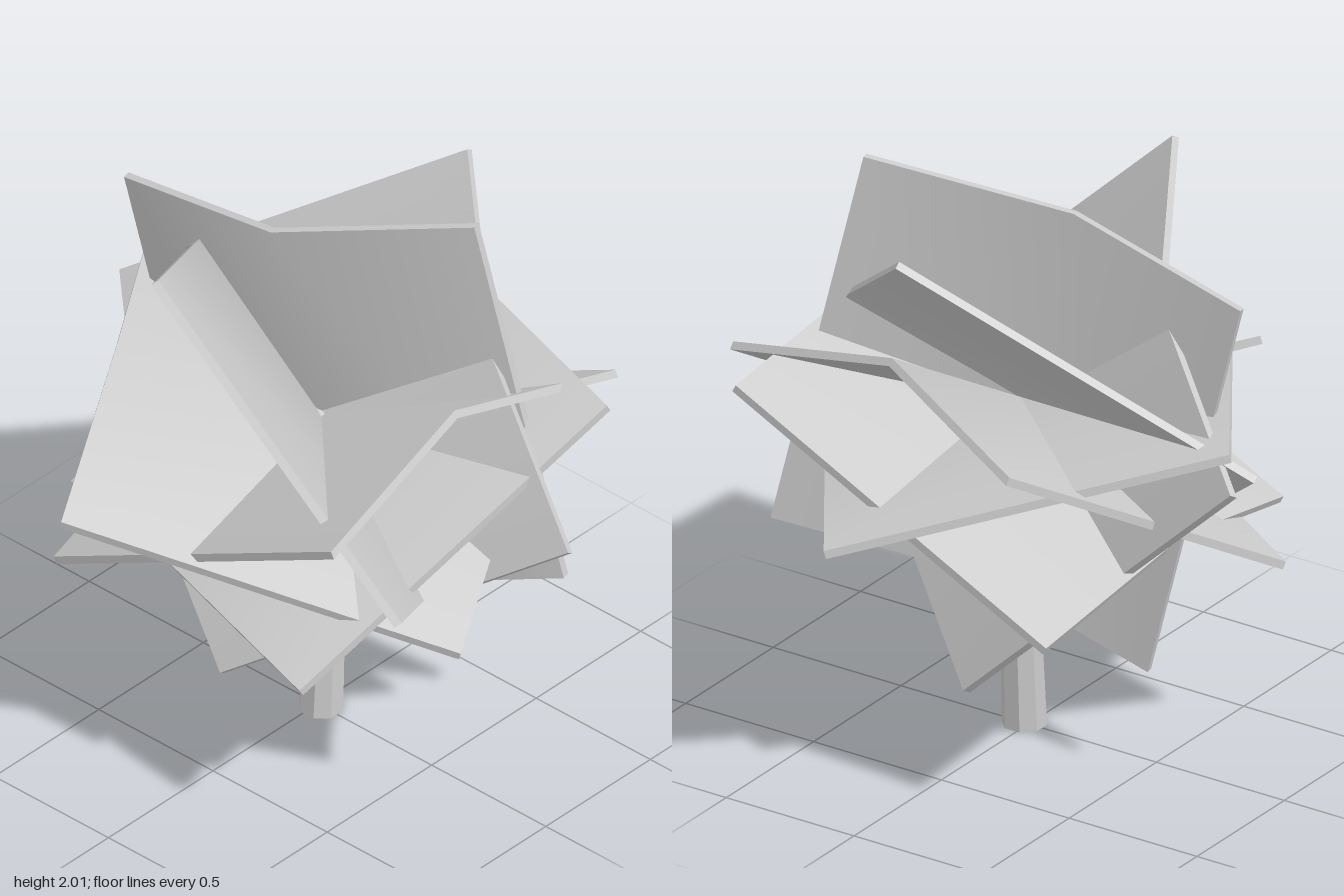
import * as THREE from 'three';
import { toCreasedNormals } from 'three/addons/utils/BufferGeometryUtils.js';

const HALF = 0.68;  // half width and half depth of a foliage card
const DROP = 0.18;  // how far the wing tips fall below the fold
const THICK = 0.028;

// Folded foliage card: a shallow chevron, extruded along its fold
function cardGeometry() {
  const t = THICK / 2;
  const shape = new THREE.Shape([
    [0, t], [-HALF, t - DROP], [-HALF, -t - DROP],
    [0, -t], [HALF, -t - DROP], [HALF, t - DROP],
  ].map(([x, y]) => new THREE.Vector2(x, y)));
  const geo = new THREE.ExtrudeGeometry(shape, { depth: HALF * 2, bevelEnabled: false });
  geo.translate(0, 0, -HALF);
  return toCreasedNormals(geo, 0.7);
}

// Slightly crooked, tapering eight-sided trunk
function trunkGeometry() {
  const rings = [ // y, x, z, radius
    [0, 0, 0.017, 0.075],
    [0.39, 0.02, 0.017, 0.068],
    [0.75, 0, 0.02, 0.056],
    [1.17, -0.02, 0.04, 0.03],
  ];
  const geo = new THREE.CylinderGeometry(1, 1, 3, 8, 3);
  geo.rotateY(Math.PI / 8);
  const pos = geo.attributes.position;
  for (let i = 0; i < pos.count; i++) {
    const [y, x, z, r] = rings[Math.round(pos.getY(i) + 1.5)];
    pos.setXYZ(i, x + pos.getX(i) * r, y, z + pos.getZ(i) * r);
  }
  geo.computeVertexNormals();
  return geo;
}

export function createModel() {
  const model = new THREE.Group();
  model.name = 'tree';

  const bark = new THREE.MeshStandardMaterial({ color: 0xcccccc, flatShading: true });
  const leaf = new THREE.MeshStandardMaterial({ color: 0xcccccc });

  const trunk = new THREE.Mesh(trunkGeometry(), bark);
  trunk.name = 'trunk';
  model.add(trunk);

  // Each card: fold direction, direction its ridge points, height of its centre
  const cards = [
    [[0, 0.61, 1.21], [0, 0.893, -0.45], 1.145],
    [[0.12, -1.32, 0.28], [-0.36, 0, 0.07], 1.19],
    [[0.54, 0.71, 1.05], [-0.28, 0.16, 0.02], 1.17],
    [[-0.09, 0.94, -0.99], [0.28, 0.18, 0.12], 1.16],
    [[0.7, -0.36, 1.09], [0, 0.27, 0.09], 1.18],
    [[1.13, 0.67, 0.3], [-0.2, 0.32, -0.05], 1.15],
  ];
  const foliage = new THREE.Group();
  foliage.name = 'foliage';
  const geo = cardGeometry();
  cards.forEach(([fold, ridge, y], i) => {
    const d = new THREE.Vector3(...fold).normalize();
    const n = new THREE.Vector3(...ridge);
    n.addScaledVector(d, -n.dot(d)).normalize();
    const side = new THREE.Vector3().crossVectors(n, d);
    const card = new THREE.Mesh(geo, leaf);
    card.name = `foliageCard${i + 1}`;
    card.quaternion.setFromRotationMatrix(new THREE.Matrix4().makeBasis(side, n, d));
    card.position.y = y;
    foliage.add(card);
  });
  model.add(foliage);
  return model;
}
